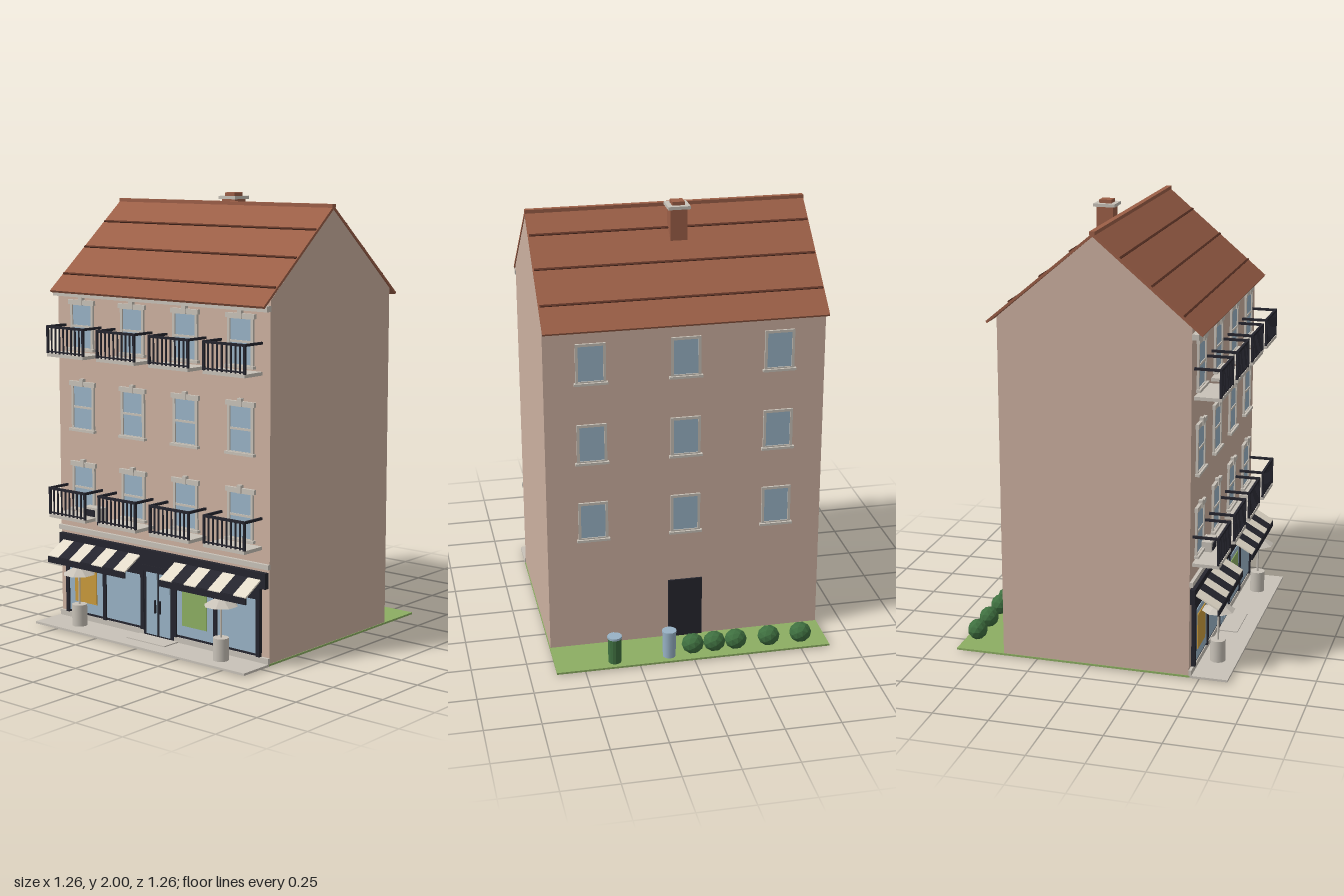
import * as THREE from 'three';

const mat = (name, color) => {
  const m = new THREE.MeshStandardMaterial({ color });
  m.name = name;
  return m;
};

export function createModel() {
  const wall = mat('wall plaster', 0xccb0a0), brick = mat('roof tile', 0x9c5f47);
  const seam = mat('tile seam', 0x5e3426), stone = mat('stone trim', 0xc8c2b8);
  const glass = mat('glass', 0x98b2c5), dark = mat('dark metal', 0x25252e);
  const cream = mat('cream cloth', 0xe4dccb), grass = mat('grass green', 0x8cae62);
  const leaf = mat('leaf green', 0x3f7040), amber = mat('amber poster', 0xc99a3c);
  leaf.flatShading = true;

  const root = new THREE.Group();
  const group = (name, x = 0, y = 0, z = 0) => {
    const g = new THREE.Group();
    g.name = name;
    g.position.set(x, y, z);
    root.add(g);
    return g;
  };
  const add = (parent, name, geo, material, x = 0, y = 0, z = 0) => {
    const m = new THREE.Mesh(geo, material);
    m.name = name;
    m.position.set(x, y, z);
    parent.add(m);
    return m;
  };
  // box given by its limits on each axis
  const box = (parent, name, material, x0, x1, y0, y1, z0, z1) =>
    add(parent, name, new THREE.BoxGeometry(x1 - x0, y1 - y0, z1 - z0), material,
      (x0 + x1) / 2, (y0 + y1) / 2, (z0 + z1) / 2);
  // outline in (z, y) extruded across x
  const prism = (parent, name, material, pts, x0, x1) => {
    const geo = new THREE.ExtrudeGeometry(new THREE.Shape(pts.map(p => new THREE.Vector2(...p))),
      { depth: x1 - x0, bevelEnabled: false });
    geo.rotateY(-Math.PI / 2);
    return add(parent, name, geo, material, x1);
  };

  const F = 0.455, B = -0.405;

  // Ground
  const ground = group('ground');
  box(ground, 'lawn', grass, -0.63, 0.63, 0.006, 0.015, -0.63, 0.46);
  box(ground, 'pavement', stone, -0.63, 0.63, 0.005, 0.015, 0.46, 0.63);
  box(ground, 'doorStep', stone, -0.115, 0.115, 0, 0.02, 0.47, 0.56);

  // House body
  const body = group('body');
  prism(body, 'walls', wall, [[B, 0.015], [F, 0.015], [F, 1.578], [0.025, 1.942], [B, 1.576]], -0.627, 0.627);
  box(body, 'plinth', stone, -0.63, 0.63, 0.015, 0.04, F, F + 0.012);
  box(body, 'beltCourse', stone, -0.63, 0.63, 0.43, 0.452, F, F + 0.015);
  box(body, 'cornice', stone, -0.63, 0.63, 1.53, 1.555, F, F + 0.03);

  // Roof
  const roof = group('roof');
  const ridge = [0.025, 1.957];
  for (const [name, ez, ey, seams] of [['frontRoof', 0.505, 1.555, [0.145, 0.28, 0.42]],
    ['backRoof', -0.455, 1.553, [-0.075, -0.21, -0.35]]]) {
    prism(roof, name, brick, ez > 0
      ? [[ez, ey], ridge, [ridge[0], 1.942], [ez - 0.006, ey - 0.009]]
      : [ridge, [ez, ey], [ez + 0.006, ey - 0.009], [ridge[0], 1.942]], -0.63, 0.63);
    const slope = (ey - ridge[1]) / (ez - ridge[0]);
    for (const z of seams) {
      const strip = add(roof, 'tileSeam', new THREE.BoxGeometry(1.25, 0.009, 0.009), seam,
        0, ridge[1] + slope * (z - ridge[0]) + 0.002, z);
      strip.rotation.x = -Math.atan(slope);
    }
  }
  box(roof, 'ridgeCap', brick, -0.63, 0.63, 1.948, 1.964, 0.012, 0.036);

  // Chimney
  const chimney = group('chimney', -0.028, 0, -0.09);
  box(chimney, 'stack', brick, -0.038, 0.038, 1.82, 1.97, -0.038, 0.038);
  box(chimney, 'cap', stone, -0.05, 0.05, 1.97, 1.984, -0.05, 0.05);
  box(chimney, 'flue', brick, -0.028, 0.028, 1.984, 2, -0.028, 0.028);

  // Surround with an opening, its back on z = 0
  const surround = (w, h, t, d) => {
    const s = new THREE.Shape([[-w, -h], [w, -h], [w, h], [-w, h]].map(p => new THREE.Vector2(...p)));
    const a = w - t, b = h - t;
    s.holes.push(new THREE.Path([[-a, -b], [-a, b], [a, b], [a, -b]].map(p => new THREE.Vector2(...p))));
    return new THREE.ExtrudeGeometry(s, { depth: d, bevelEnabled: false });
  };

  // Front windows and balconies
  for (const x of [-0.47, -0.157, 0.157, 0.47]) {
    for (const y of [0.645, 1.02, 1.395]) {
      const w = group('frontWindow', x, y, F);
      add(w, 'surround', surround(0.071, 0.11, 0.013, 0.01), stone);
      box(w, 'pane', glass, -0.06, 0.06, -0.1, 0.1, 0, 0.004);
      box(w, 'transom', stone, -0.06, 0.06, -0.004, 0.006, 0, 0.008);
      box(w, 'lintel', stone, -0.08, 0.08, 0.1, 0.121, 0, 0.014);
      box(w, 'keystone', stone, -0.011, 0.011, 0.098, 0.134, 0, 0.018);
      box(w, 'sill', stone, -0.08, 0.08, -0.112, -0.1, 0, 0.02);
    }
    for (const y of [0.51, 1.26]) {
      const b = group('balcony', x, y, F);
      box(b, 'slab', stone, -0.115, 0.115, 0, 0.015, 0, 0.12);
      box(b, 'frontRail', dark, -0.117, 0.117, 0.131, 0.142, 0.109, 0.12);
      box(b, 'bottomRail', dark, -0.115, 0.115, 0.02, 0.026, 0.112, 0.118);
      for (const s of [-1, 1]) {
        box(b, 'sideRail', dark, s * 0.112 - 0.005, s * 0.112 + 0.005, 0.131, 0.142, 0, 0.12);
      }
      for (let i = 0; i < 10; i++) {
        const r = i % 9 ? 0.003 : 0.005, bx = -0.112 + i * 0.224 / 9;
        box(b, 'baluster', dark, bx - r, bx + r, 0.015, 0.132, 0.115 - r, 0.115 + r);
      }
    }
  }

  // Air conditioner on the front wall
  const cooler = group('airConditioner', -0.383, 0.505, F);
  box(cooler, 'casing', stone, -0.05, 0.05, 0.003, 0.065, 0, 0.05);
  box(cooler, 'grille', dark, -0.037, 0.026, 0.025, 0.055, 0.05, 0.055);
  for (const s of [-1, 1]) box(cooler, 'bracket', dark, s * 0.04 - 0.004, s * 0.04 + 0.004, -0.012, 0.003, 0, 0.05);

  // Shopfront
  const shop = group('shopfront', 0, 0, F);
  box(shop, 'fascia', dark, -0.62, 0.62, 0.345, 0.415, 0, 0.022);
  box(shop, 'backFrame', dark, -0.585, 0.585, 0.04, 0.345, 0, 0.008);
  for (const s of [-1, 1]) {
    for (const c of [0.216, 0.455]) {
      box(shop, 'shopPane', glass, s * c - 0.109, s * c + 0.109, 0.052, 0.29, 0.006, 0.012);
    }
    for (const c of [0.098, 0.335, 0.575]) {
      box(shop, 'mullion', dark, s * c - 0.01, s * c + 0.01, 0.04, 0.35, 0, 0.018);
    }
    box(shop, 'doorLeaf', dark, s * 0.045 - 0.045, s * 0.045 + 0.045, 0.018, 0.335, 0, 0.014);
    box(shop, 'doorPane', glass, s * 0.039 - 0.032, s * 0.039 + 0.032, 0.027, 0.312, 0.014, 0.018);
    box(shop, 'doorHandle', dark, s * 0.014 - 0.003, s * 0.014 + 0.003, 0.13, 0.19, 0.018, 0.026);
  }
  box(shop, 'doorHead', dark, -0.1, 0.1, 0.318, 0.345, 0, 0.024);
  box(shop, 'amberPoster', amber, -0.527, -0.387, 0.1, 0.265, 0.012, 0.016);
  box(shop, 'greenPoster', grass, 0.143, 0.285, 0.1, 0.265, 0.012, 0.016);

  // Striped awnings
  for (const s of [-1, 1]) {
    const awning = group('awning');
    const start = s * 0.35 - 0.245;
    for (let i = 0; i < 7; i++) {
      prism(awning, 'stripe', i % 2 ? dark : cream,
        [[F + 0.01, 0.384], [0.578, 0.32], [0.578, 0.328], [F + 0.01, 0.392]], start + i * 0.07, start + (i + 1) * 0.07);
    }
    box(awning, 'valance', dark, start, start + 0.49, 0.295, 0.324, 0.572, 0.58);
  }

  // Parasols in planters
  for (const x of [-0.43, 0.427]) {
    const p = group('parasol', x, 0, 0.54);
    add(p, 'planter', new THREE.CylinderGeometry(0.035, 0.035, 0.1, 16), stone, 0, 0.065);
    add(p, 'pole', new THREE.CylinderGeometry(0.005, 0.005, 0.18, 8), stone, 0, 0.19);
    const canopy = new THREE.ConeGeometry(0.076, 0.045, 8).toNonIndexed();
    canopy.rotateY(Math.PI / 8);
    canopy.computeVertexNormals();
    add(p, 'canopy', canopy, stone, 0, 0.28);
  }

  // Back windows and door
  for (const x of [-0.42, 0, 0.42]) {
    for (const y of [0.64, 1.015, 1.39]) {
      const w = group('backWindow', x, y, B);
      w.rotation.y = Math.PI;
      add(w, 'surround', surround(0.067, 0.092, 0.012, 0.009), stone);
      box(w, 'pane', glass, -0.057, 0.057, -0.082, 0.082, 0, 0.004);
      box(w, 'sill', stone, -0.075, 0.075, -0.097, -0.086, 0, 0.018);
    }
  }
  box(group('backDoor'), 'doorPanel', dark, -0.078, 0.078, 0.015, 0.305, B - 0.008, B);

  // Garden bins and bushes
  for (const [x, material] of [[0.11, glass], [0.36, leaf]]) {
    const bin = group('bin', x, 0, -0.58);
    add(bin, 'barrel', new THREE.CylinderGeometry(0.031, 0.029, 0.12, 14), material, 0, 0.075);
    add(bin, 'lid', new THREE.CylinderGeometry(0.033, 0.033, 0.01, 14), glass, 0, 0.14);
  }
  for (const x of [-0.505, -0.355, -0.2, -0.1, 0]) {
    const bush = add(group('bushes'), 'bush', new THREE.IcosahedronGeometry(0.05, 1), leaf, x, 0.062, -0.575);
    bush.scale.set(1.03, 0.95, 0.9);
  }
  return root;
}
